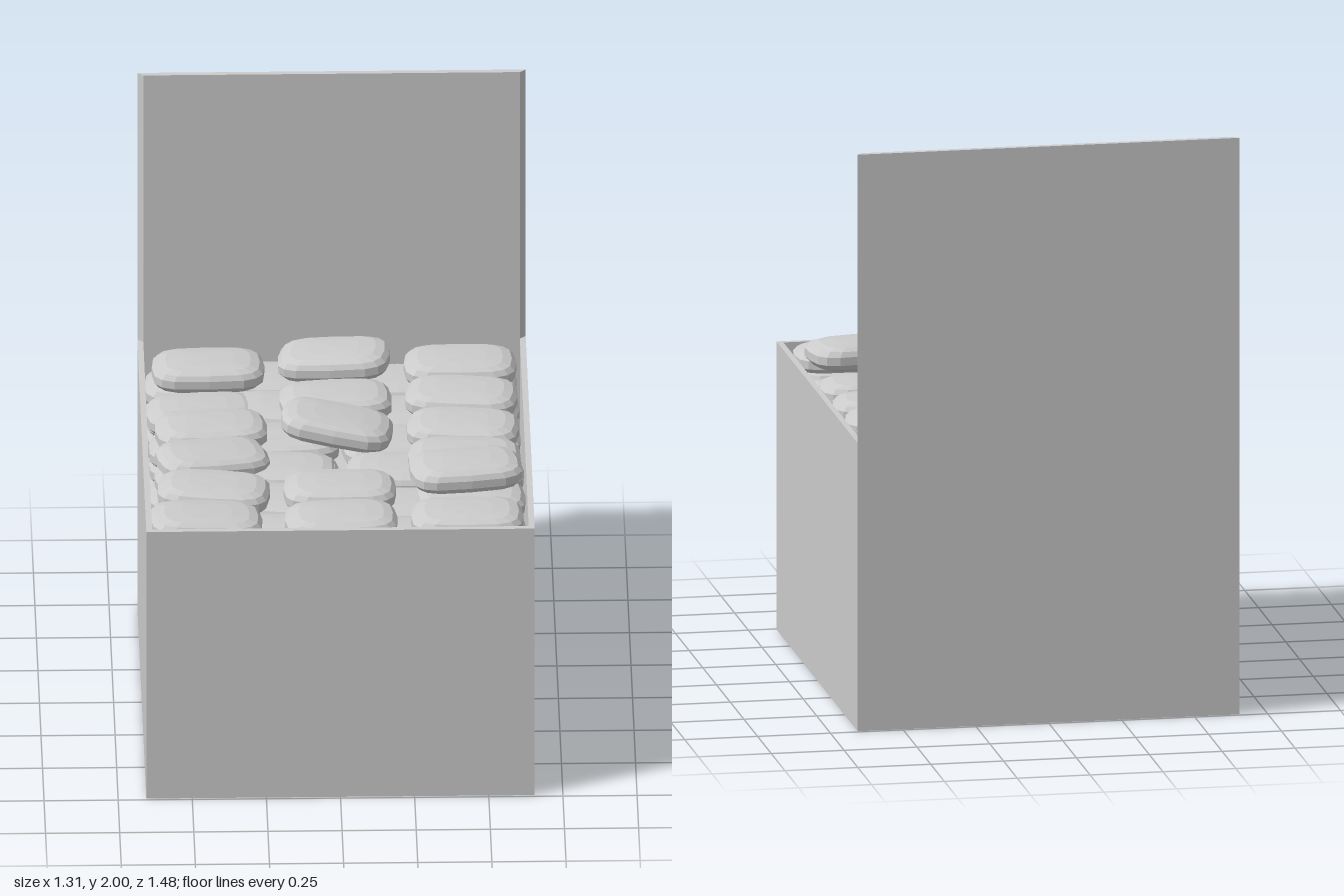
import * as THREE from 'three';

const W = 0.655, D = 0.74, T = 0.02; // half width, half depth, wall thickness

const boxMaterial = new THREE.MeshStandardMaterial({ color: 0xcccccc });
const stoneMaterial = new THREE.MeshStandardMaterial({ color: 0xcccccc, flatShading: true });

// Outline in plan (x, -z) raised upwards by the given height
function raise(shape, height) {
  return new THREE.ExtrudeGeometry(shape, { depth: height, bevelEnabled: false }).rotateX(-Math.PI / 2);
}

function rectangle(w, d) {
  return [[-w, -d], [w, -d], [w, d], [-w, d]].map(([x, y]) => new THREE.Vector2(x, y));
}

// Faceted pillow: a turned profile whose round outline is squared off
function stoneGeometry() {
  const profile = [
    [0, -0.048], [0.45, -0.046], [0.76, -0.041], [0.92, -0.031], [1, -0.014],
    [1, 0.014], [0.92, 0.031], [0.76, 0.041], [0.45, 0.046], [0, 0.048],
  ].map(([r, y]) => new THREE.Vector2(r, y));
  const geometry = new THREE.LatheGeometry(profile, 16);
  const p = geometry.attributes.position;
  const square = (v, power) => Math.sign(v) * Math.abs(v) ** power;
  for (let i = 0; i < p.count; i++) {
    const x = p.getX(i), z = p.getZ(i), r = Math.hypot(x, z);
    if (r < 1e-6) continue;
    p.setX(i, 0.19 * r * square(x / r, 0.5));
    p.setZ(i, 0.12 * r * square(z / r, 0.6));
  }
  geometry.computeVertexNormals();
  return geometry;
}

function seeded(seed) {
  return () => {
    seed = (seed * 16807) % 2147483647;
    return seed / 2147483647;
  };
}

export function createModel() {
  const model = new THREE.Group();
  const add = (name, geometry, material, parent = model) => {
    const mesh = new THREE.Mesh(geometry, material);
    mesh.name = name;
    parent.add(mesh);
    return mesh;
  };

  // Open box: four walls and a floor
  const frame = new THREE.Shape(rectangle(W, D));
  frame.holes.push(new THREE.Path(rectangle(W - T, D - T)));
  add('walls', raise(frame, 1), boxMaterial);
  add('floor', raise(new THREE.Shape(rectangle(W - T / 2, D - T / 2)), T), boxMaterial);

  // Upright back panel with mitred side edges
  const panel = new THREE.Shape([[-W + T, D - T], [W - T, D - T], [W, D], [-W, D]]
    .map(([x, y]) => new THREE.Vector2(x, y)));
  add('backPanel', raise(panel, 1), boxMaterial).position.y = 1;

  // Stones filling the box
  const stones = new THREE.Group();
  stones.name = 'stones';
  model.add(stones);
  const shape = stoneGeometry();
  const placeStone = (name, x, y, z, yaw = 0, roll = 0, pitch = 0) => {
    const stone = add(name, shape, stoneMaterial, stones);
    stone.position.set(x, y, z);
    stone.rotation.set(pitch, yaw, roll, 'YXZ');
  };

  // Top layer: x, y, z, yaw, roll
  [
    [-0.42, 0.965, -0.57, 0.02, 0], [0.005, 1.0, -0.575, -0.12, 0.08], [0.43, 0.97, -0.57, 0, 0],
    [-0.445, 0.91, -0.34, 0.08, 0], [0.005, 0.96, -0.33, 0.08, 0], [0.43, 0.965, -0.34, -0.1, 0],
    [-0.42, 0.965, -0.1, 0.1, 0], [0.005, 0.985, -0.1, -0.12, -0.16], [0.43, 0.96, -0.105, -0.1, 0],
    [-0.42, 0.97, 0.13, 0.25, -0.05], [-0.19, 0.915, 0.13, -0.08, 0], [0.22, 0.91, 0.13, -0.05, 0],
    [0.43, 0.965, 0.13, -0.04, 0],
    [-0.42, 0.965, 0.37, -0.1, -0.03], [0.005, 0.965, 0.37, 0, 0], [0.43, 1.042, 0.37, 0.15, 0],
    [-0.45, 0.96, 0.59, 0.05, -0.05], [0.005, 0.965, 0.605, 0.05, 0], [0.43, 0.97, 0.6, 0, 0],
  ].forEach((placement) => placeStone('topStone', ...placement));

  // Buried layers, in loosely shifted rows down to the floor
  const random = seeded(11);
  const jitter = (amount) => (random() - 0.5) * 2 * amount;
  for (let layer = 0; layer < 10; layer++) {
    const y = 0.89 - layer * 0.09;
    for (let row = 0; row < 6; row++) {
      const z = -0.585 + row * 0.234;
      const edge = row === 0 || row === 5;
      const columns = layer % 2 ? [-0.42, 0, 0.42] : [-0.435, -0.17, 0.22, 0.435];
      columns.forEach((x, i) => {
        const lift = columns.length > 3 && i % 2 ? 0.015 : 0;
        placeStone('buriedStone', x + jitter(0.01), y + lift, z + jitter(edge ? 0.005 : 0.02), jitter(edge ? 0.05 : 0.12));
      });
    }
  }

  return model;
}
